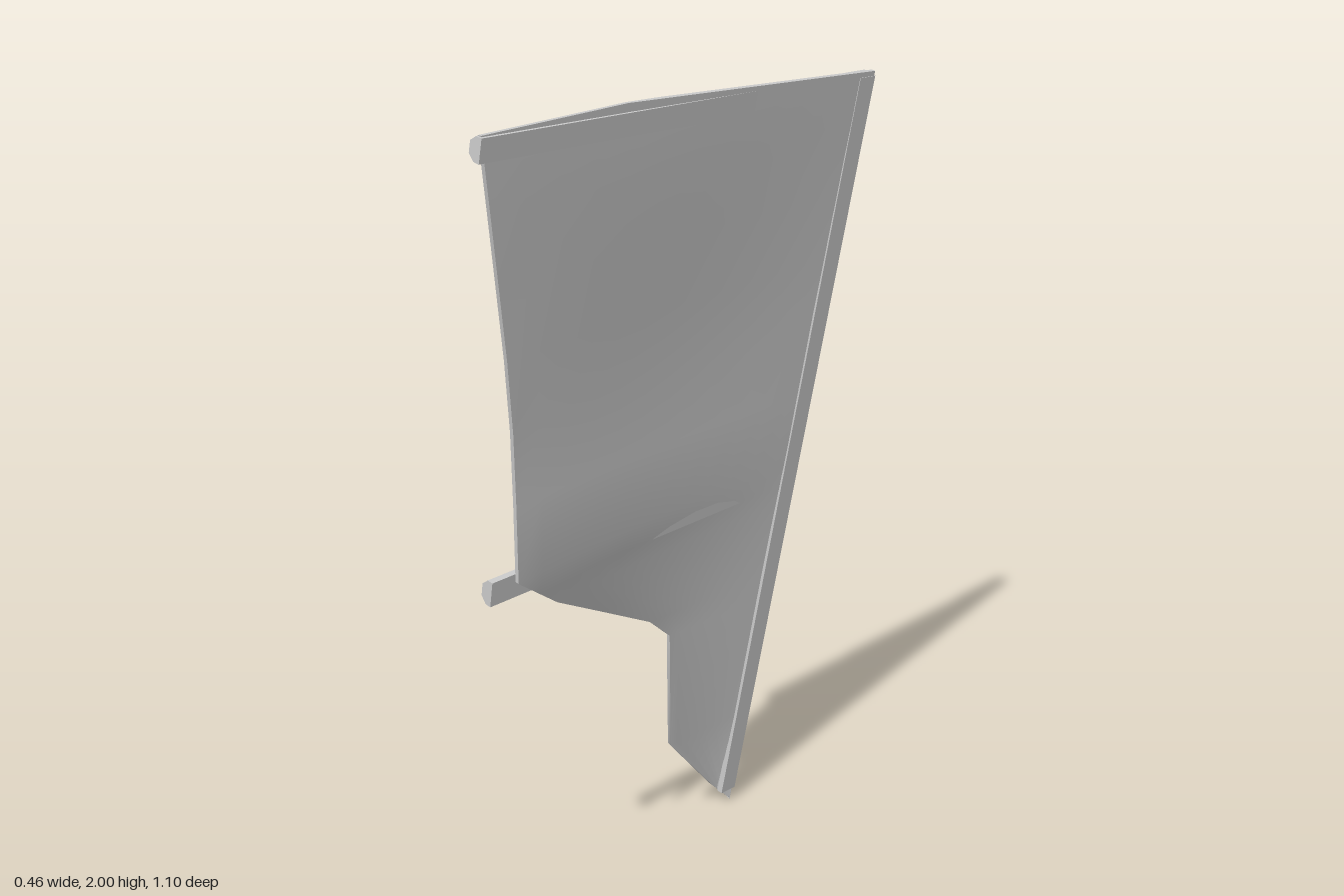
import * as THREE from 'three';
import { toCreasedNormals } from 'three/addons/utils/BufferGeometryUtils.js';

const V = (x, y, z) => new THREE.Vector3(x, y, z);
const OUT = V(-0.953, 0.161, -0.259).normalize(); // side carrying the spars
const mat = new THREE.MeshStandardMaterial({ color: 0xcccccc, side: THREE.DoubleSide });

// Free edge of the sheet from tip to top: [x, y, z]
const EDGE = [
  [-0.105, 0, -0.555], [-0.135, 0.06, -0.505], [-0.142, 0.28, -0.3], [-0.112, 0.62, -0.24],
  [-0.12, 0.69, -0.16], [-0.14, 0.79, 0.02], [-0.147, 0.89, 0.2], [-0.147, 0.94, 0.27],
  [-0.143, 1.0, 0.355], [-0.136, 1.18, 0.365], [-0.128, 1.35, 0.38], [-0.11, 1.52, 0.42],
  [-0.1, 1.68, 0.455], [-0.083, 1.84, 0.5], [-0.07, 2.0, 0.54],
];
const mastX = (y) => -0.105 + 0.169 * y;

// Point on the sheet: t runs from the mast to the free edge
function sheetPoint([x, y, z], t) {
  const top = y > 1.99;
  const y0 = top ? 1.95 : y;
  const py = top ? Math.min(2, y0 + 0.075 * t) : y;
  const belly = 0.02 * Math.sin(Math.PI * t) * THREE.MathUtils.smoothstep(y, 0.6, 0.95) * (1 - THREE.MathUtils.smoothstep(y, 1.3, 2));
  return V(THREE.MathUtils.lerp(mastX(y0), x, t) - belly, py, THREE.MathUtils.lerp(-0.552, z, t));
}

// Thin closed sheet: each row runs along one face and back along the other
function makeSheet() {
  const N = 12, K = 2 * (N + 1), pos = [], idx = [];
  for (const e of EDGE) {
    for (let k = 0; k < K; k++) {
      const j = k <= N ? k : K - 1 - k;
      const p = sheetPoint(e, j / N);
      if (k > N) p.addScaledVector(OUT, 0.01);
      pos.push(p.x, Math.min(2, p.y), p.z);
    }
  }
  for (let i = 0; i < EDGE.length - 1; i++) {
    for (let k = 0; k < K; k++) {
      const a = i * K + k, b = i * K + ((k + 1) % K);
      idx.push(a, a + K, b, a + K, b + K, b);
    }
  }
  // Cap along the top edge
  const r = (EDGE.length - 1) * K;
  for (let j = 0; j < N; j++) {
    const a = r + j, b = r + j + 1, c = r + K - 1 - j, d = r + K - 2 - j;
    idx.push(a, c, b, c, d, b);
  }
  const g = new THREE.BufferGeometry();
  g.setAttribute('position', new THREE.Float32BufferAttribute(pos, 3));
  g.setIndex(idx);
  return toCreasedNormals(g, 0.6);
}

// Bevelled spar whose flat base runs from a to b and rises along OUT
function spar(name, a, b, width, depth) {
  const w = width / 2;
  const shape = new THREE.Shape([
    [0, -w], [depth * 0.5, -w], [depth, -w * 0.5], [depth, w * 0.5], [depth * 0.5, w], [0, w],
  ].map(([x, y]) => new THREE.Vector2(x, y)));
  const g = new THREE.ExtrudeGeometry(shape, { depth: a.distanceTo(b), bevelEnabled: false });
  const dir = b.clone().sub(a).normalize();
  const up = OUT.clone().addScaledVector(dir, -OUT.dot(dir)).normalize();
  g.applyMatrix4(new THREE.Matrix4().makeBasis(up, dir.clone().cross(up), dir).setPosition(a));
  const mesh = new THREE.Mesh(g, mat);
  mesh.name = name;
  return mesh;
}

export function createModel() {
  const group = new THREE.Group();
  group.name = 'sailPanel';
  const sheet = new THREE.Mesh(makeSheet(), mat);
  sheet.name = 'sailSheet';
  group.add(
    sheet,
    spar('mast', V(mastX(0.04), 0.04, -0.53), V(mastX(1.94) - 0.005, 1.94, -0.53), 0.05, 0.03),
    spar('topSpar', V(0.212, 1.925, -0.54), V(-0.07, 1.972, 0.545), 0.05, 0.03),
    spar('middleSpar', V(0.045, 0.968, -0.53), V(-0.2, 0.968, 0.375), 0.06, 0.03),
  );
  return group;
}
